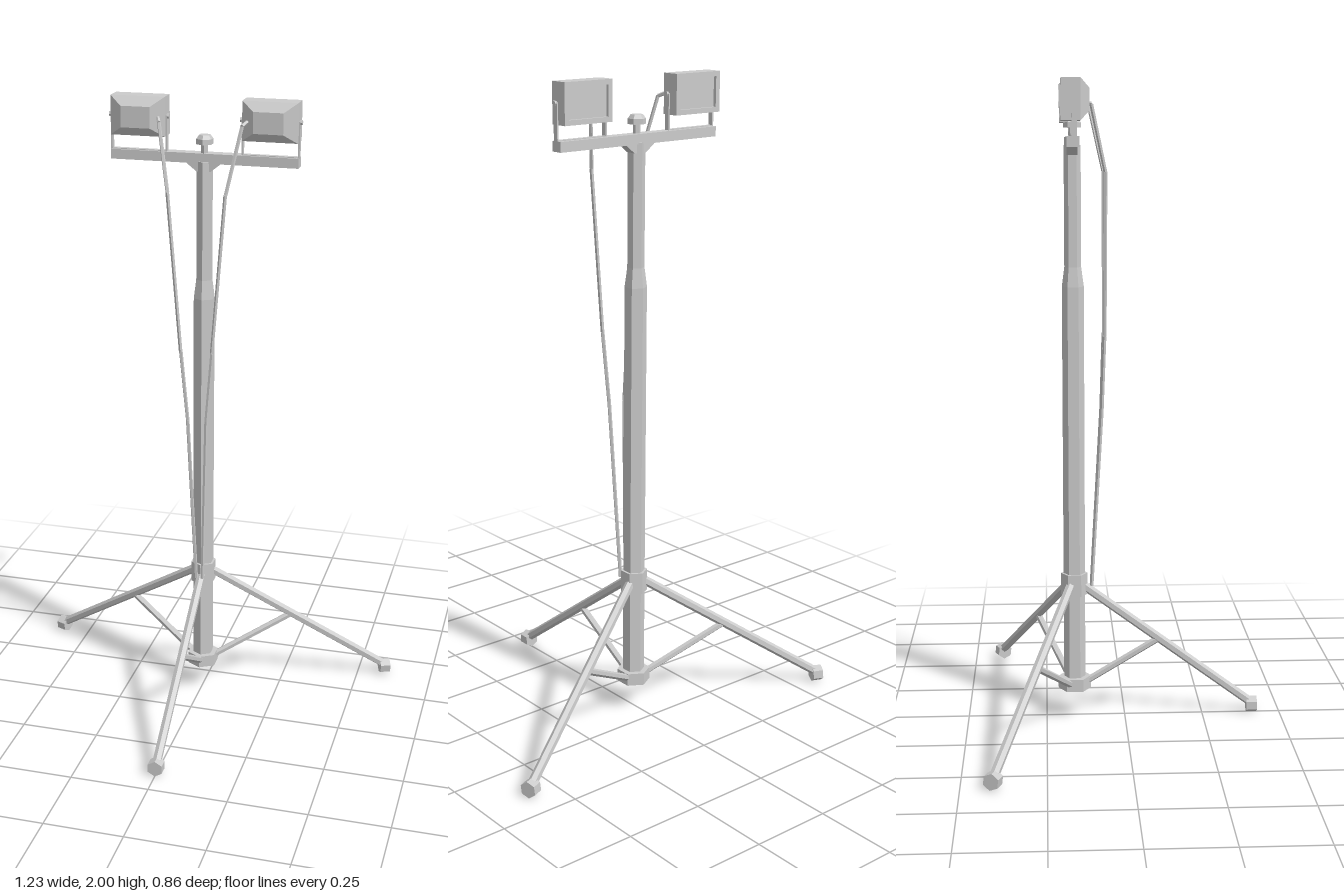
import * as THREE from 'three';

const mat = new THREE.MeshStandardMaterial({ color: 0xcccccc, flatShading: true });
const MAST_Z = -0.16;
const V = (x, y, z) => new THREE.Vector3(x, y, z);

function add(parent, name, geometry, x = 0, y = 0, z = 0) {
  const mesh = new THREE.Mesh(geometry, mat);
  mesh.name = name;
  mesh.position.set(x, y, z);
  parent.add(mesh);
  return mesh;
}

// Straight prism between two points
function rod(parent, name, a, b, radius, sides = 6) {
  const mesh = add(parent, name, new THREE.CylinderGeometry(radius, radius, a.distanceTo(b), sides));
  mesh.position.copy(a).lerp(b, 0.5);
  mesh.quaternion.setFromUnitVectors(V(0, 1, 0), b.clone().sub(a).normalize());
  return mesh;
}

// Upright hexagonal section of the mast between two heights
function hex(parent, name, y0, y1, r0, r1 = r0) {
  return add(parent, name, new THREE.CylinderGeometry(r1, r0, y1 - y0, 6), 0, (y0 + y1) / 2, MAST_Z);
}

function rect(shape, w, h) {
  shape.moveTo(-w / 2, -h / 2);
  shape.lineTo(w / 2, -h / 2);
  shape.lineTo(w / 2, h / 2);
  shape.lineTo(-w / 2, h / 2);
  shape.closePath();
  return shape;
}

function createMast() {
  const g = new THREE.Group();
  g.name = 'mast';
  hex(g, 'baseCollar', 0.09, 0.13, 0.052);
  hex(g, 'lowerTube', 0.1, 1.38, 0.034);
  hex(g, 'tubeTaper', 1.38, 1.44, 0.034, 0.026);
  hex(g, 'upperTube', 1.44, 1.81, 0.026);
  hex(g, 'legCollar', 0.4, 0.47, 0.042);
  hex(g, 'knobStem', 1.83, 1.87, 0.011);
  hex(g, 'knob', 1.862, 1.878, 0.027);
  hex(g, 'knobTop', 1.878, 1.89, 0.027, 0.018);
  return g;
}

// Leg with its foot and brace, heading for the given foot position
function createLeg(start, end) {
  const g = new THREE.Group();
  g.name = 'leg';
  rod(g, 'legTube', start, end, 0.0145);
  const out = V(end.x, 0, end.z - MAST_Z).normalize();
  const foot = V(end.x, 0.025, end.z);
  rod(g, 'foot', foot.clone().addScaledVector(out, -0.017), foot.clone().addScaledVector(out, 0.017), 0.026);
  const hub = V(0, 0.11, MAST_Z).addScaledVector(out, 0.035);
  rod(g, 'brace', hub, start.clone().lerp(end, 0.455), 0.011);
  return g;
}

// Floodlight: glass faces back, tapered housing faces front
function createLamp(side) {
  const g = new THREE.Group();
  g.name = 'floodlight';
  const w = 0.17, h = 0.12;
  add(g, 'housing', new THREE.BoxGeometry(w, h, 0.047), 0, 0, -0.0015);

  const taper = new THREE.BoxGeometry(w, h, 0.026);
  const p = taper.attributes.position;
  for (let i = 0; i < p.count; i++) {
    if (p.getZ(i) > 0) p.setXY(i, p.getX(i) * 0.54, p.getY(i) * 0.54);
  }
  taper.computeVertexNormals();
  add(g, 'taperedHousing', taper, 0, 0, 0.035);

  const frame = rect(new THREE.Shape(), w, h);
  frame.holes.push(rect(new THREE.Path(), w - 0.03, h - 0.03));
  add(g, 'glassFrame', new THREE.ExtrudeGeometry(frame, { depth: 0.01, bevelEnabled: false }), 0, 0, -0.035);

  // U-shaped mounting bracket with pivot bolts
  for (const s of [-1, 1]) {
    add(g, 'bracketArm', new THREE.BoxGeometry(0.005, 0.11, 0.016), s * 0.0865, -0.052, 0.003);
    const bolt = add(g, 'pivotBolt', new THREE.CylinderGeometry(0.008, 0.008, 0.007, 6), s * 0.091, 0, 0.003);
    bolt.rotation.z = Math.PI / 2;
  }
  add(g, 'bracketBase', new THREE.BoxGeometry(0.178, 0.005, 0.016), 0, -0.105, 0.003);

  g.position.set(side * 0.205, 1.94, -0.162);
  return g;
}

// Cable from the lamp down to the leg collar
function createCable(side) {
  const g = new THREE.Group();
  g.name = 'cable';
  const pts = [
    [0.138, 1.94, -0.128], [0.128, 1.93, -0.105], [0.09, 1.73, -0.062],
    [0.05, 1.23, -0.064], [0.03, 1.0, -0.072], [0.01, 0.43, -0.105],
  ].map(([x, y, z]) => V(x * side, y, z));
  for (let i = 1; i < pts.length; i++) rod(g, 'cableSegment', pts[i - 1], pts[i], 0.006, 5);
  return g;
}

export function createModel() {
  const model = new THREE.Group();
  model.name = 'floodlightTripod';
  model.add(createMast());

  // Crossbar and the gusset joining it to the mast
  add(model, 'crossbar', new THREE.BoxGeometry(0.585, 0.03, 0.037), 0, 1.82, MAST_Z - 0.002);
  const gusset = new THREE.Shape();
  gusset.moveTo(-0.055, 1.806);
  gusset.lineTo(-0.022, 1.78);
  gusset.lineTo(0.022, 1.78);
  gusset.lineTo(0.055, 1.806);
  add(model, 'gusset', new THREE.ExtrudeGeometry(gusset, { depth: 0.034, bevelEnabled: false }), 0, 0, MAST_Z - 0.018);

  // Three legs
  model.add(createLeg(V(0, 0.435, -0.14), V(0, 0.03, 0.41)));
  for (const s of [-1, 1]) {
    model.add(createLeg(V(s * 0.025, 0.435, -0.172), V(s * 0.588, 0.03, -0.405)));
    model.add(createLamp(s));
    model.add(createCable(s));
  }
  return model;
}
